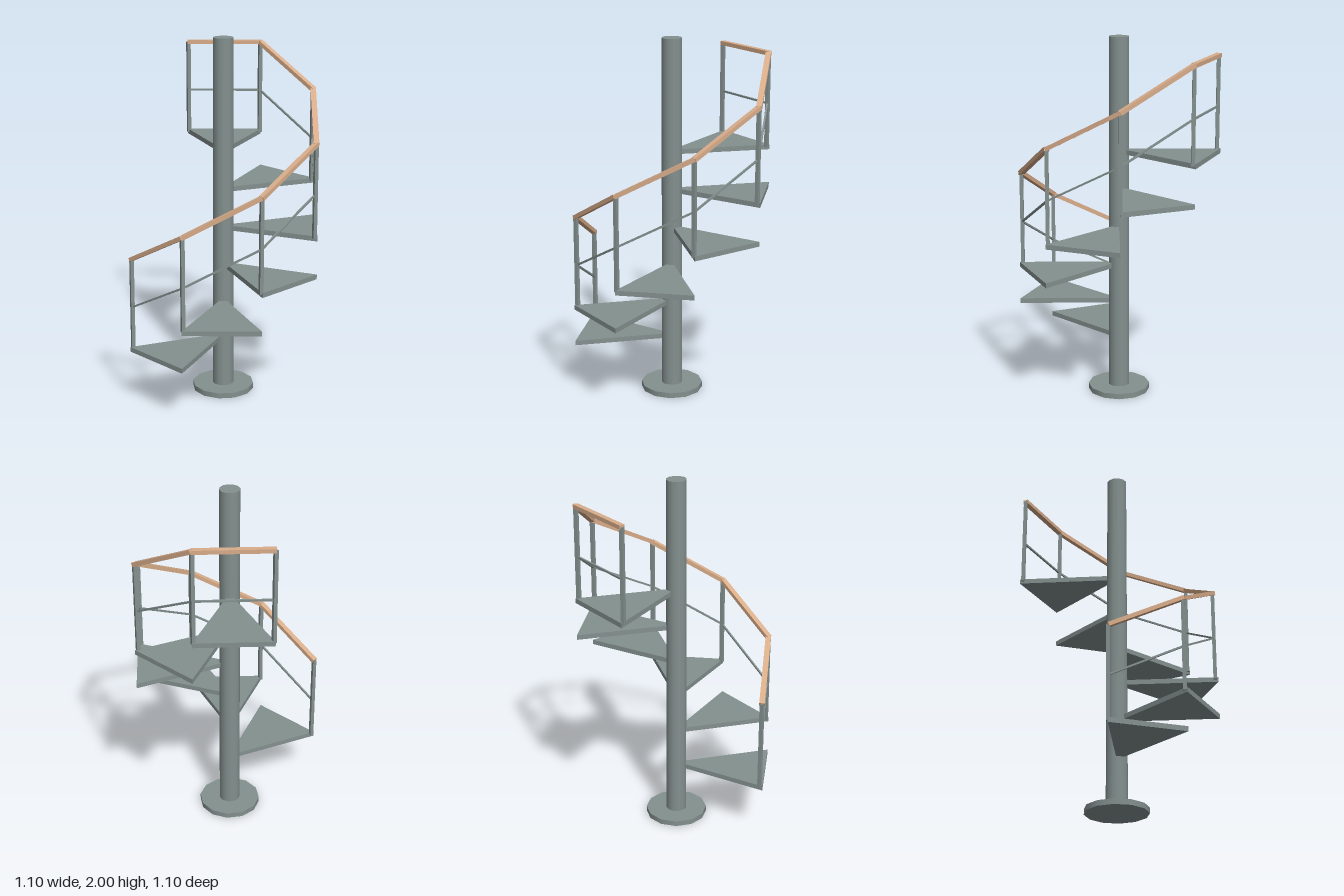
import * as THREE from 'three';

const STEPS = 6, RISE = 0.2135, FIRST_TOP = 0.324, THICK = 0.027;
const TREAD_R = 0.55, RAIL_R = 0.532;

const steel = new THREE.MeshStandardMaterial({ color: 0x84918f });
steel.name = 'greyGreenSteel';
const wood = new THREE.MeshStandardMaterial({ color: 0xd9ad8a });
wood.name = 'paleWood';

// Point on the spiral: k = 0 is at -x, turning through +z, +x and -z
function spiral(k, radius, y) {
  const a = Math.PI - k * Math.PI / 4;
  return new THREE.Vector3(Math.cos(a) * radius, y, Math.sin(a) * radius);
}

// Height of the tread a post stands on; the last two posts share the top tread
const treadTop = k => FIRST_TOP + Math.min(k, STEPS - 1) * RISE;

export function createModel() {
  const group = new THREE.Group();
  const add = (name, geometry, material) => {
    const mesh = new THREE.Mesh(geometry, material);
    mesh.name = name;
    group.add(mesh);
    return mesh;
  };

  // Square bar from a to b, with its width kept level
  function bar(name, a, b, width, height, extra, material) {
    const length = a.distanceTo(b) + extra;
    const mesh = add(name, new THREE.BoxGeometry(width, height, length), material);
    mesh.position.copy(a).add(b).multiplyScalar(0.5);
    mesh.lookAt(b);
  }

  // Base plate and central column
  add('basePlate', new THREE.CylinderGeometry(0.172, 0.172, 0.03, 12), steel).position.y = 0.015;
  const column = add('column', new THREE.CylinderGeometry(0.055, 0.059, 1.98, 12), steel);
  column.position.y = 1.01;
  column.rotation.y = Math.PI / 12;

  // Wedge treads, each an eighth of a turn
  for (let k = 0; k < STEPS; k++) {
    const p = spiral(k, TREAD_R, 0), q = spiral(k + 1, TREAD_R, 0);
    const wedge = new THREE.Shape([
      new THREE.Vector2(0, 0), new THREE.Vector2(p.x, -p.z), new THREE.Vector2(q.x, -q.z),
    ]);
    const geometry = new THREE.ExtrudeGeometry(wedge, { depth: THICK, bevelEnabled: false });
    geometry.rotateX(-Math.PI / 2);
    add('tread', geometry, steel).position.y = treadTop(k) - THICK;
  }

  // Posts at every corner, with the middle rail and wooden handrail between them
  for (let k = 0; k <= STEPS; k++) {
    const y = treadTop(k);
    const post = add('post', new THREE.BoxGeometry(0.02, 0.52, 0.02), steel);
    post.position.copy(spiral(k, RAIL_R, y + 0.247));
    if (k === STEPS) break;
    const next = treadTop(k + 1);
    bar('middleRail', spiral(k, RAIL_R, y + 0.232), spiral(k + 1, RAIL_R, next + 0.232), 0.01, 0.01, 0.004, steel);
    bar('handrail', spiral(k, RAIL_R, y + 0.507), spiral(k + 1, RAIL_R, next + 0.507), 0.03, 0.022, 0.008, wood);
  }
  return group;
}
